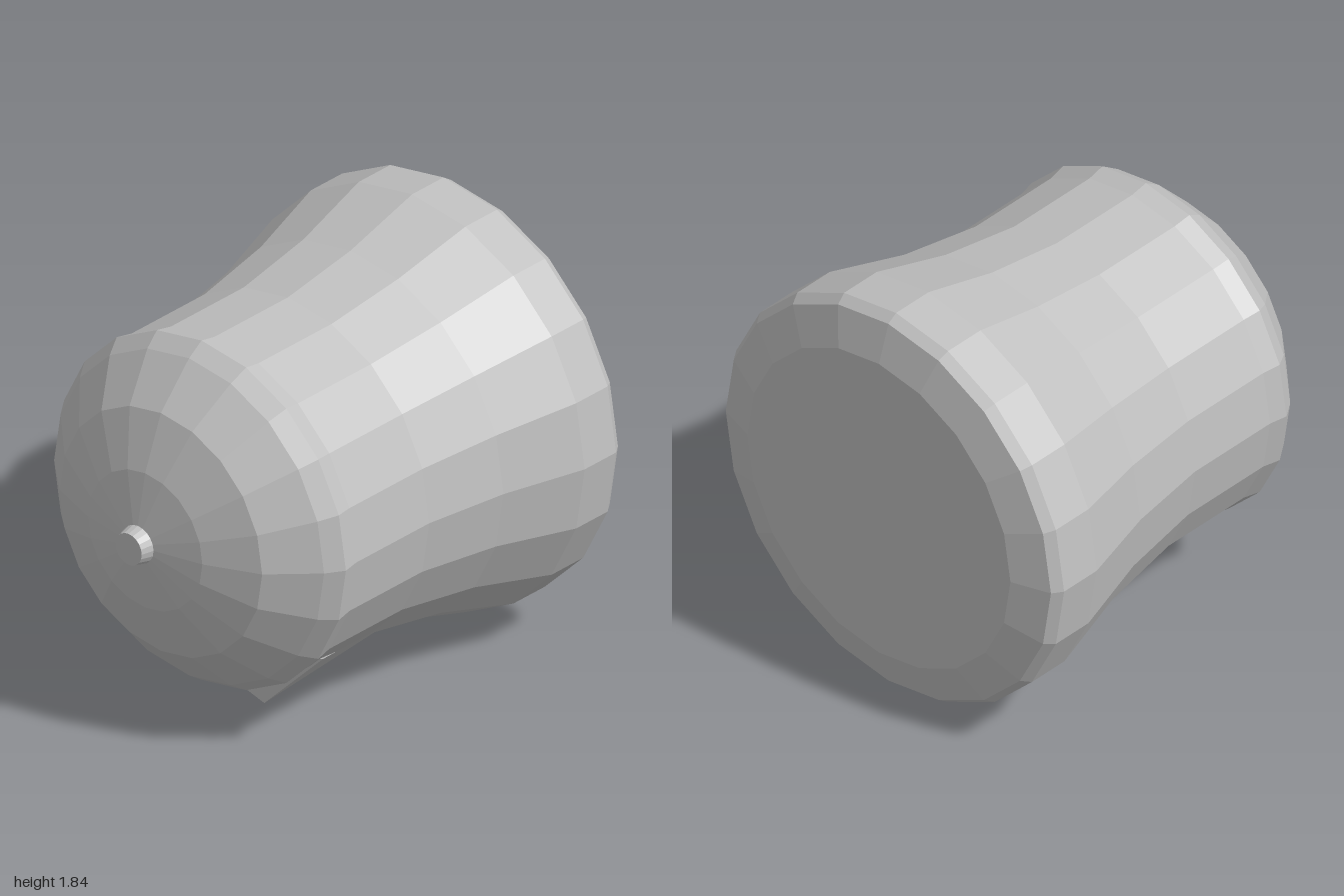
import * as THREE from 'three';
import { ConvexGeometry } from 'three/addons/geometries/ConvexGeometry.js';

const SIDES = 20;

export function createModel() {
  const model = new THREE.Group();
  model.name = 'flaredCanister';
  const grey = new THREE.MeshStandardMaterial({ color: 0xbfbfbf, flatShading: true });
  grey.name = 'grey';

  const add = (name, geometry) => {
    const mesh = new THREE.Mesh(geometry, grey);
    mesh.name = name;
    model.add(mesh);
    return mesh;
  };

  // Turns a profile of [radius, z] pairs around the front-to-back axis
  const turned = (name, profile) => {
    const points = profile.map(([r, z]) => new THREE.Vector2(r, z));
    const mesh = add(name, new THREE.LatheGeometry(points, SIDES).rotateX(Math.PI / 2));
    mesh.position.y = 0.92;
  };

  // Flat back with a chamfered edge
  turned('backCap', [[0, -1], [0.72, -1], [0.89, -0.945]]);

  // Flared barrel narrowing to a waist
  turned('barrel', [
    [0.89, -0.945], [0.92, -0.9], [0.92, -0.71], [0.815, -0.34],
    [0.755, 0.04], [0.755, 0.48], [0.77, 0.56],
  ]);

  // Domed nose
  turned('dome', [[0.77, 0.56], [0.72, 0.635], [0.54, 0.805], [0.305, 0.9], [0.08, 0.945], [0, 0.945]]);

  // Small tapered stud on the nose
  const stud = add('noseStud', new THREE.CylinderGeometry(0.07, 0.085, 0.06, SIDES).rotateX(Math.PI / 2));
  stud.position.set(0, 0.92, 0.97);

  // Wedge-shaped fin under the barrel, set off to one side
  add('lowerFin', new ConvexGeometry([
    new THREE.Vector3(0.22, 0.07, 0.43),
    new THREE.Vector3(0.506, 0.36, 0.4),
    new THREE.Vector3(-0.15, 0.22, 0.47),
    new THREE.Vector3(0.23, 0.14, -0.34),
  ]));

  return model;
}
